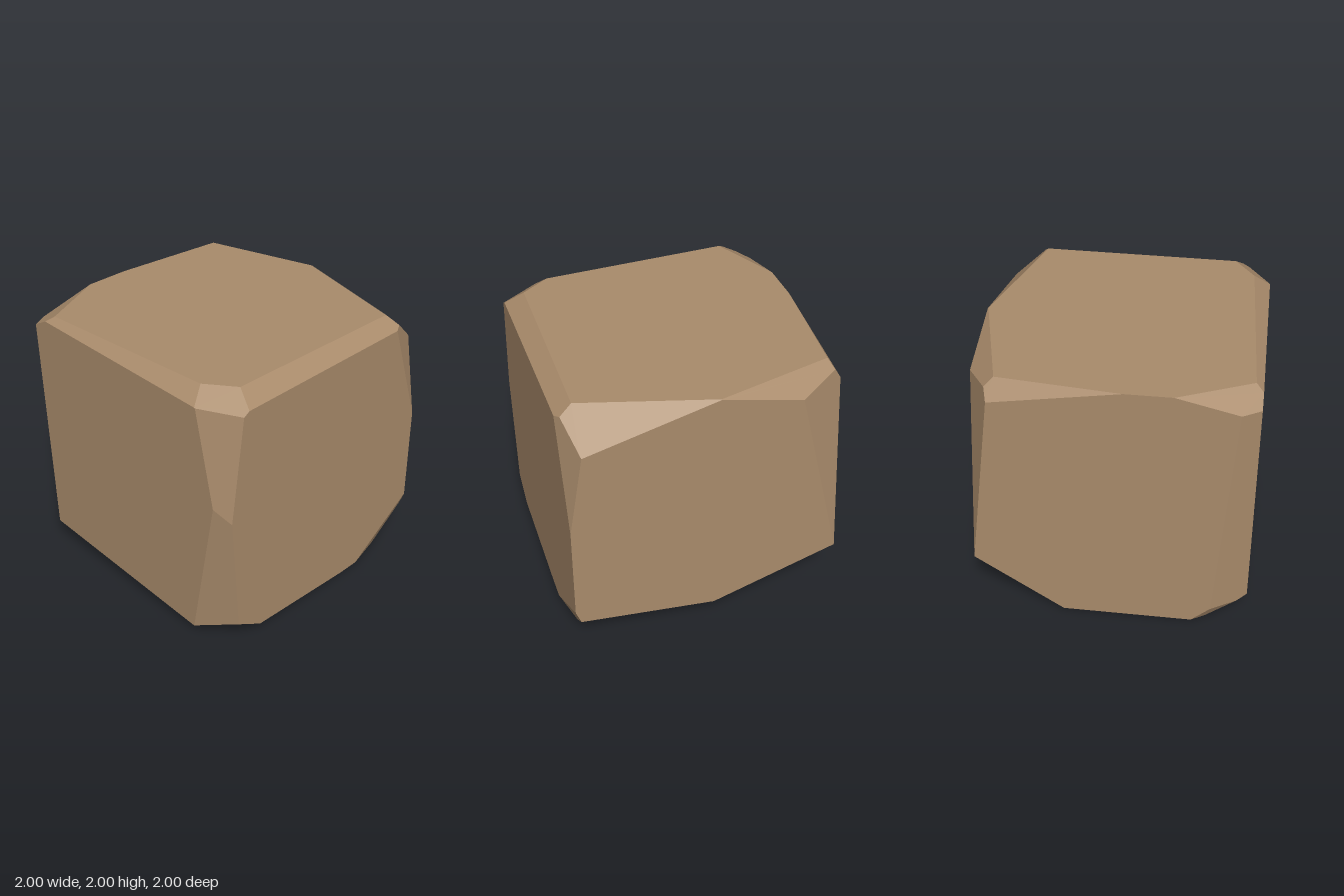
import * as THREE from 'three';

const V = (x, y, z) => new THREE.Vector3(x, y, z);
const planeAt = (normal, point) =>
  new THREE.Plane().setFromNormalAndCoplanarPoint(normal.normalize(), point);

// Chips by block corner (signs of x, y, z). Each chip is a flat cut that meets the
// three block edges at these distances from the corner; long ones bevel an edge,
// negative ones widen away from the corner.
const CHIPS = [
  { corner: [-1, 1, 1], cuts: [[-0.81, 0.032, 0.04], [0.26, 0.14, 0.57]] },
  { corner: [1, 1, 1], cuts: [[0.3, 1.36, 0.18], [0.52, 0.22, 0.37]] },
  { corner: [-1, -1, 1], cuts: [[0.147, 3.62, 0.27], [2.27, 0.193, 0.31], [0.23, 0.37, 0.4]] },
  { corner: [1, -1, 1], cuts: [[0.33, 1.86, 0.144], [0.07, 0.07, 1.25], [0.4, 0.26, 0.435]] },
  { corner: [1, 1, -1], cuts: [[0.116, 0.078, -8.5], [0.145, 0.88, 0.31], [1.07, 0.28, 0.304]] },
  { corner: [-1, 1, -1], cuts: [[0.96, 0.22, 0.254], [0.385, 1.55, 0.204], [0.114, 0.18, 1.1]] },
  { corner: [1, -1, -1], cuts: [[0.138, 0.37, 0.57], [2.39, 0.27, 0.288]] },
  { corner: [-1, -1, -1], cuts: [[1.43, 0.45, 0.65]] },
];

// Centres of the chunks the block is cracked into
const CHUNKS = [
  [0.1, 1.1, 0.7], [-0.75, 1.55, 0.65], [-0.8, 0.7, 0.65], [-0.2, 0.35, 0.65],
  [0.75, 0.4, 0.6], [0.1, 1.85, 0.55], [0.8, 1.65, 0.5], [0.8, 1.0, 0.35],
  [0.45, 1.7, -0.35], [-0.6, 1.75, -0.2], [-0.3, 1.6, -0.75], [0.75, 1.1, -0.6],
  [0.65, 0.4, -0.5], [-0.1, 0.9, -0.7], [-0.75, 1.0, -0.5], [-0.5, 0.3, -0.5],
].map((p) => V(...p));

// Outer planes of the block: six sides, then every chip
function blockPlanes() {
  const planes = [];
  for (const s of [-1, 1])
    for (const n of [V(s, 0, 0), V(0, s, 0), V(0, 0, s)])
      planes.push(planeAt(n, n.clone().add(V(0, 1, 0))));
  for (const { corner: [sx, sy, sz], cuts } of CHIPS)
    for (const [a, b, c] of cuts)
      planes.push(planeAt(V(sx / a, sy / b, sz / c), V(sx * (1 - a), 1 + sy, sz)));
  return planes;
}

// Plane halfway between two chunk centres, facing from a to b
const split = (a, b) => planeAt(b.clone().sub(a), a.clone().lerp(b, 0.5));

// Point shared by three planes, or null when they do not meet in one point
function meet(p, q, r) {
  const qr = q.normal.clone().cross(r.normal);
  const det = p.normal.dot(qr);
  if (Math.abs(det) < 1e-7) return null;
  return qr.multiplyScalar(-p.constant)
    .addScaledVector(r.normal.clone().cross(p.normal), -q.constant)
    .addScaledVector(p.normal.clone().cross(q.normal), -r.constant)
    .divideScalar(det);
}

// Convex solid lying behind every plane, with one flat polygon per plane
function solid(planes) {
  const corners = [];
  for (let i = 0; i < planes.length; i++)
    for (let j = i + 1; j < planes.length; j++)
      for (let k = j + 1; k < planes.length; k++) {
        const p = meet(planes[i], planes[j], planes[k]);
        if (!p || planes.some((s) => s.distanceToPoint(p) > 1e-6)) continue;
        if (!corners.some((c) => c.distanceTo(p) < 1e-5)) corners.push(p);
      }

  const positions = [], normals = [];
  for (const plane of planes) {
    const n = plane.normal;
    const face = corners.filter((c) => Math.abs(plane.distanceToPoint(c)) < 1e-5);
    if (face.length < 3) continue;
    // Sort the corners counter-clockwise around the outward normal
    const mid = face.reduce((sum, c) => sum.add(c), V(0, 0, 0)).divideScalar(face.length);
    const u = face[0].clone().sub(mid).normalize();
    const v = n.clone().cross(u);
    const angle = (c) => Math.atan2(c.clone().sub(mid).dot(v), c.clone().sub(mid).dot(u));
    face.sort((a, b) => angle(a) - angle(b));
    for (let i = 1; i < face.length - 1; i++)
      for (const c of [face[0], face[i], face[i + 1]]) {
        positions.push(c.x, c.y, c.z);
        normals.push(n.x, n.y, n.z);
      }
  }
  const geometry = new THREE.BufferGeometry();
  geometry.setAttribute('position', new THREE.Float32BufferAttribute(positions, 3));
  geometry.setAttribute('normal', new THREE.Float32BufferAttribute(normals, 3));
  return geometry;
}

export function createModel() {
  const group = new THREE.Group();
  group.name = 'crackedRockBlock';
  const stone = new THREE.MeshStandardMaterial({ color: 0xa98b6b, flatShading: true });
  const outside = blockPlanes();

  // Each chunk is the block trimmed halfway to every other chunk
  CHUNKS.forEach((seed, i) => {
    const cracks = CHUNKS.filter((other) => other !== seed).map((other) => split(seed, other));
    const chunk = new THREE.Mesh(solid([...outside, ...cracks]), stone);
    chunk.name = `rockChunk${i + 1}`;
    group.add(chunk);
  });
  return group;
}
